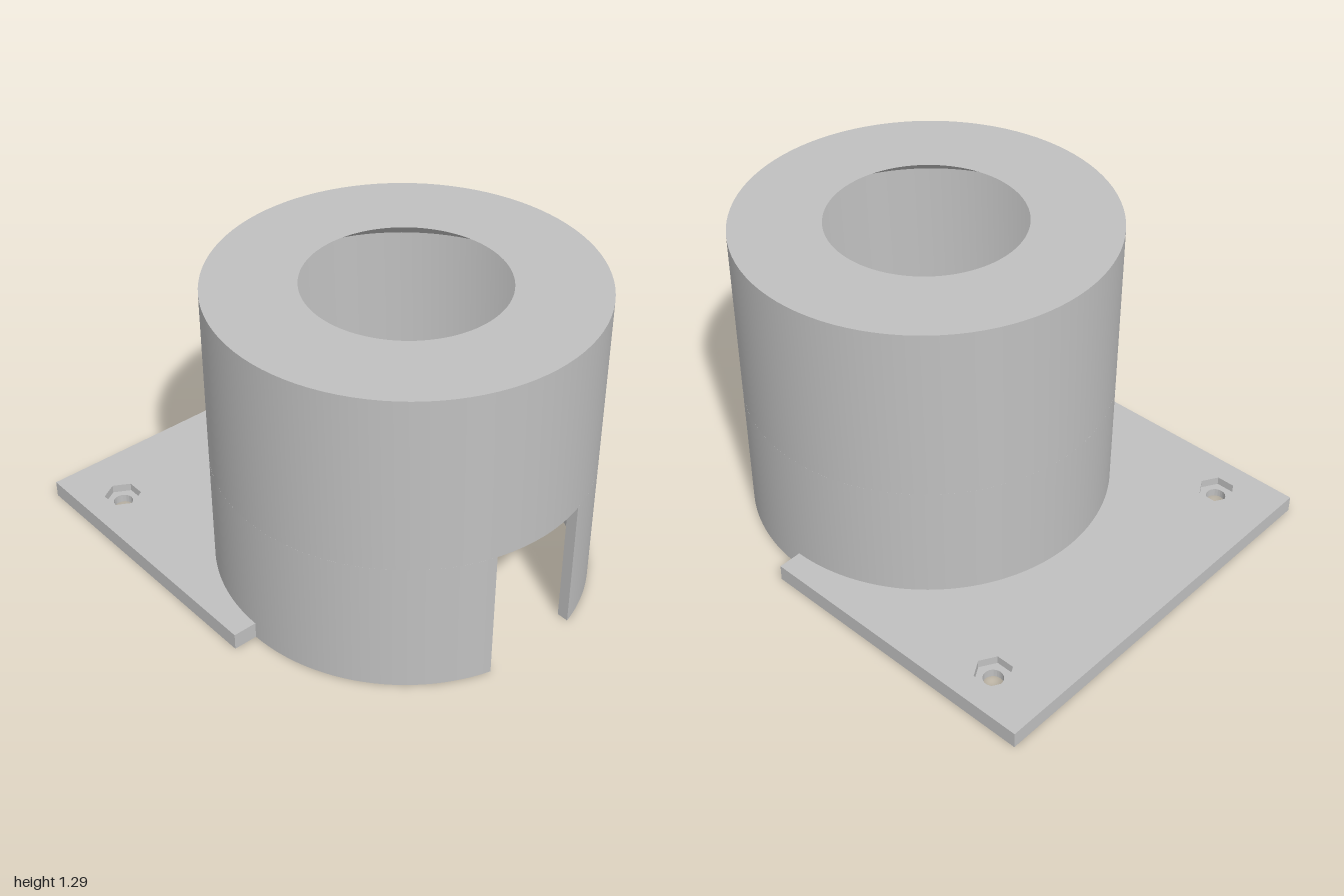
import * as THREE from 'three';
import { toCreasedNormals } from 'three/addons/utils/BufferGeometryUtils.js';

const CX = 0.243;                    // tube axis
const R = 0.757, RI = 0.71, RH = 0.396; // outer wall, inner wall, top opening
const H = 1.295, CONE = 0.2;         // tube height, depth of the cone under the top
const WIN_H = 0.565, WIN_W = 0.21;   // window height and half width
const T = 0.07, NUT = 0.035;         // plate thickness, nut pocket depth
const DZ = 0.857, BOLT_X = -0.745, BOLT_Z = 0.69;

// Extrude a plan shape upwards from height y
function slab(shape, y, height) {
  const g = new THREE.ExtrudeGeometry(shape, { depth: height, bevelEnabled: false, curveSegments: 96 });
  g.rotateX(-Math.PI / 2);
  g.translate(0, y, 0);
  return toCreasedNormals(g, 0.5);
}

// Base plate outline, cut round to meet the tube
function plateShape(addHole) {
  const s = new THREE.Shape();
  s.moveTo(-1, -DZ);
  s.lineTo(CX, -DZ);
  s.lineTo(CX, -R);
  s.absarc(CX, 0, R, -Math.PI / 2, -Math.PI * 1.5, true);
  s.lineTo(CX, DZ);
  s.lineTo(-1, DZ);
  s.closePath();
  for (const side of [-1, 1]) {
    const hole = new THREE.Path();
    addHole(hole, BOLT_X, side * BOLT_Z);
    s.holes.push(hole);
  }
  return s;
}

function roundHole(path, x, y) {
  path.absarc(x, y, 0.04, 0, Math.PI * 2, true);
}

function hexHole(path, x, y) {
  const pts = [];
  for (let i = 0; i < 6; i++) {
    const a = -i * Math.PI / 3;
    pts.push(new THREE.Vector2(x + 0.076 * Math.cos(a), y + 0.076 * Math.sin(a)));
  }
  path.setFromPoints(pts);
  path.closePath();
}

export function createModel() {
  const model = new THREE.Group();
  model.name = 'tubeHolder';
  const grey = new THREE.MeshStandardMaterial({ color: 0xc0c0c0 });
  grey.name = 'grey';

  const add = (name, geometry) => {
    const mesh = new THREE.Mesh(geometry, grey);
    mesh.name = name;
    model.add(mesh);
  };

  // Plate in two layers: bolt holes below, hexagonal nut pockets above
  add('plateLower', slab(plateShape(roundHole), 0, T - NUT));
  add('plateUpper', slab(plateShape(hexHole), T - NUT, NUT));

  // Lower wall: a ring left open by the straight-sided window
  const ao = Math.asin(WIN_W / R), ai = Math.asin(WIN_W / RI);
  const ring = new THREE.Shape();
  ring.absarc(CX, 0, R, ao, Math.PI * 2 - ao, false);
  ring.absarc(CX, 0, RI, Math.PI * 2 - ai, ai, true);
  ring.closePath();
  add('lowerWall', slab(ring, 0, WIN_H));

  // Upper wall with the top rim and the cone leading to the opening
  const profile = [
    [RI, WIN_H], [R, WIN_H], [R, H], [RH, H], [RI, H - CONE], [RI, WIN_H],
  ].map(([x, y]) => new THREE.Vector2(x, y));
  const upper = toCreasedNormals(new THREE.LatheGeometry(profile, 96), 0.5);
  upper.translate(CX, 0, 0);
  add('upperWall', upper);

  return model;
}
